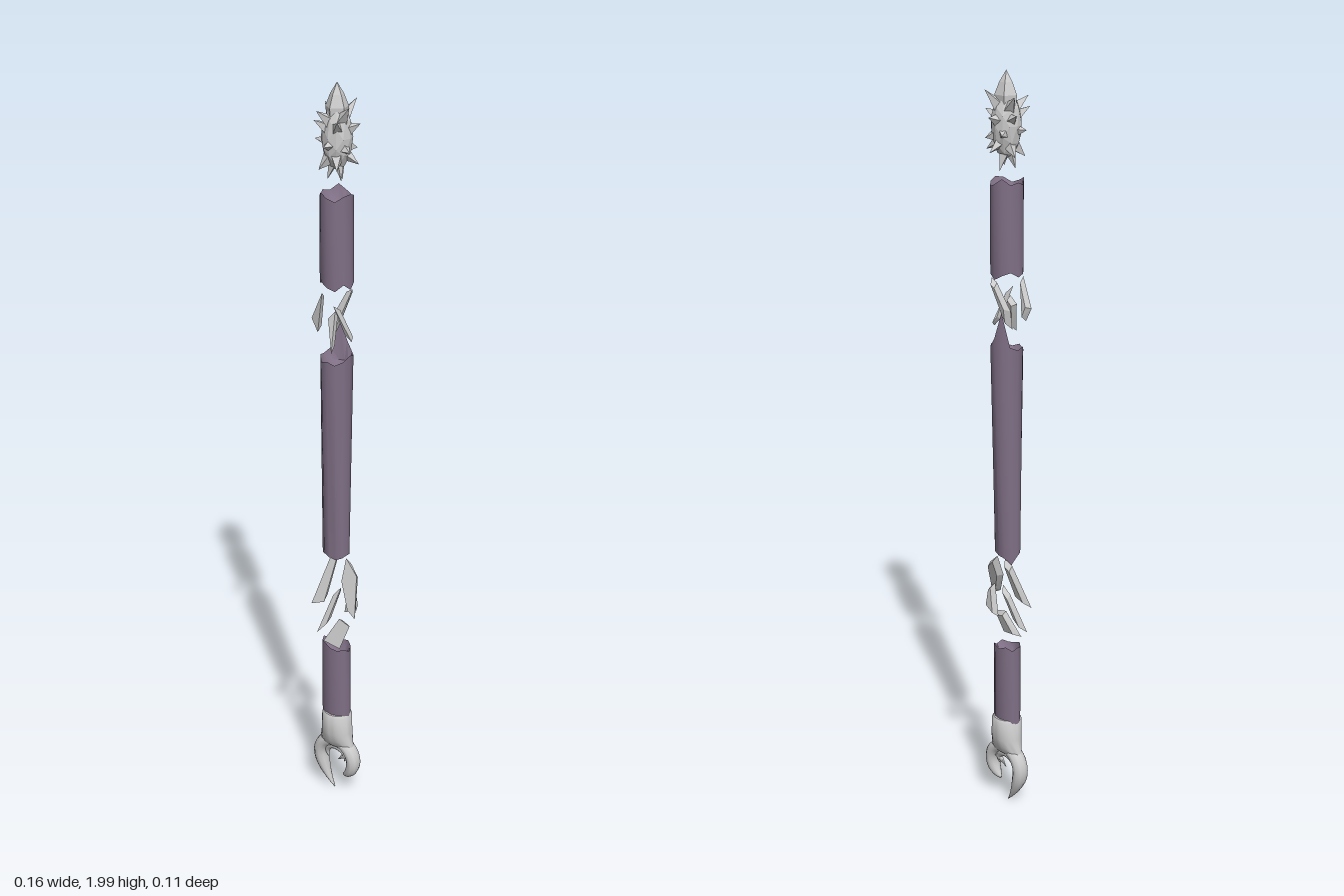
import * as THREE from 'three';
import { toCreasedNormals } from 'three/addons/utils/BufferGeometryUtils.js';
import { ConvexGeometry } from 'three/addons/geometries/ConvexGeometry.js';

const grey = new THREE.MeshStandardMaterial({ color: 0xcccccc, side: THREE.DoubleSide });
const greyFlat = new THREE.MeshStandardMaterial({ color: 0xcccccc, side: THREE.DoubleSide, flatShading: true });
const purple = new THREE.MeshStandardMaterial({ color: 0x807086, side: THREE.DoubleSide });
const CX = -0.006, CZ = 0.004;

function add(parent, name, geometry, material) {
  const mesh = new THREE.Mesh(geometry, material);
  mesh.name = name;
  parent.add(mesh);
  return mesh;
}

// Shaft piece with splintered, recessed ends; bottom and top are { y, rx, rz, x, jag[12] }
function shaft(parent, name, bottom, top) {
  const profile = [[0, 0], [0.75, 0], [1, 0], [1, 1], [0.75, 1], [0, 1]];
  const geo = new THREE.LatheGeometry(profile.map(p => new THREE.Vector2(...p)), 12);
  const pos = geo.attributes.position;
  for (let i = 0; i < pos.count; i++) {
    const k = i % profile.length;
    const step = Math.floor(i / profile.length) % 12;
    const end = k < 3 ? bottom : top;
    const inward = k < 3 ? 1 : -1;
    const y = profile[k][0] === 1 ? end.y + end.jag[step] : end.y + inward * (k === 0 || k === 5 ? 0.04 : 0.02);
    pos.setXYZ(i, end.x + pos.getX(i) * end.rx, y, CZ + pos.getZ(i) * end.rz);
  }
  add(parent, name, toCreasedNormals(geo, 0.75), purple);
}

// Faceted splinter: outline in x,y leaning in z, with a smaller copy behind it
function shard(parent, name, outline, z, lean, thick = 0.016) {
  const midX = outline.reduce((s, p) => s + p[0], 0) / outline.length;
  const midY = outline.reduce((s, p) => s + p[1], 0) / outline.length;
  const points = [];
  for (const [x, y] of outline) {
    const dx = x - midX, dy = y - midY;
    points.push(new THREE.Vector3(x, y, z + lean * dy + thick / 2));
    points.push(new THREE.Vector3(midX + dx * 0.65, midY + dy * 0.75, z + lean * dy * 0.75 - thick / 2));
  }
  add(parent, name, new ConvexGeometry(points), greyFlat);
}

// Tapered claw swept along an arc; radius, width and depth are functions of t
function claw(parent, name, cy, a0, a1, radius, width, depth) {
  const n = 28, sides = 10, verts = [], index = [];
  for (let i = 0; i <= n; i++) {
    const t = i / n;
    const a = THREE.MathUtils.degToRad(a0 + (a1 - a0) * t);
    for (let j = 0; j < sides; j++) {
      const b = (j / sides) * Math.PI * 2;
      const r = radius(t) + Math.cos(b) * width(t);
      verts.push(CX + r * Math.cos(a), cy + r * Math.sin(a), CZ + Math.sin(b) * depth(t));
      if (i < n) {
        const p = i * sides + j, q = i * sides + (j + 1) % sides;
        if (a1 > a0) index.push(p, p + sides, q, q, p + sides, q + sides);
        else index.push(p, q, p + sides, q, q + sides, p + sides);
      }
    }
  }
  const geo = new THREE.BufferGeometry();
  geo.setAttribute('position', new THREE.Float32BufferAttribute(verts, 3));
  geo.setIndex(index);
  geo.computeVertexNormals();
  add(parent, name, geo, grey);
}

// Spiked head: faceted core, rows of broad thorns and a pointed crown tip
function spikedHead() {
  const head = new THREE.Group();
  head.name = 'spikedHead';
  const core = new THREE.IcosahedronGeometry(1, 1);
  core.scale(0.039, 0.082, 0.037);
  add(head, 'headCore', core, greyFlat);
  const up = new THREE.Vector3(0, 1, 0);
  // [height, ring radius, thorn count, upward tilt, length, base radius]
  const rows = [
    [0.045, 0.022, 4, 1.0, 0.052, 0.018], [0.018, 0.024, 5, 0.5, 0.042, 0.02],
    [-0.018, 0.024, 5, -0.1, 0.034, 0.02], [-0.045, 0.02, 5, -0.8, 0.044, 0.018],
    [-0.068, 0.01, 3, -3, 0.045, 0.014],
  ];
  rows.forEach(([y, r, count, tilt, length, base], row) => {
    for (let i = 0; i < count; i++) {
      const a = ((i + (row % 2) * 0.5 + 0.25) / count) * Math.PI * 2;
      const vary = Math.sin(i * 5 + row * 2);
      const dir = new THREE.Vector3(Math.cos(a), tilt + 0.2 * vary, Math.sin(a)).normalize();
      const geo = new THREE.ConeGeometry(base, length * (1 + 0.12 * vary), 4);
      geo.translate(0, length / 2 - 0.004, 0);
      const thorn = add(head, 'thorn', geo, greyFlat);
      thorn.quaternion.setFromUnitVectors(up, dir);
      thorn.position.set(r * Math.cos(a), y + 0.006 * vary, r * Math.sin(a));
    }
  });
  const tip = new THREE.LatheGeometry(
    [[0.026, 0.04], [0.029, 0.072], [0.017, 0.102], [0, 0.13]].map(p => new THREE.Vector2(...p)), 5);
  add(head, 'crownTip', tip, greyFlat);
  head.position.set(CX - 0.002, 1.87, 0);
  return head;
}

export function createModel() {
  const model = new THREE.Group();
  model.name = 'brokenStaff';
  model.add(spikedHead());

  // Three shaft pieces
  shaft(model, 'upperShaft',
    { y: 1.505, rx: 0.042, rz: 0.042, x: CX, jag: [0, -0.008, 0.008, -0.008, 0.005, 0, -0.012, 0, 0.008, -0.005, 0, 0.01] },
    { y: 1.73, rx: 0.042, rz: 0.042, x: CX, jag: [0, -0.008, 0.005, 0.008, 0, -0.008, 0, 0.015, 0, 0.005, -0.005, 0.01] });
  shaft(model, 'middleShaft',
    { y: 0.757, rx: 0.037, rz: 0.031, x: -0.009, jag: [0, -0.005, 0, 0.005, 0, 0, -0.005, -0.01, -0.027, -0.005, 0, 0.005] },
    { y: 1.312, rx: 0.041, rz: 0.043, x: CX, jag: [0, -0.008, 0, 0.012, 0.005, 0.005, 0.03, 0.1, 0.01, 0, 0.005, -0.008] });
  shaft(model, 'lowerShaft',
    { y: 0.26, rx: 0.042, rz: 0.029, x: CX - 0.002, jag: Array(12).fill(0) },
    { y: 0.48, rx: 0.042, rz: 0.029, x: CX - 0.002, jag: [0, -0.005, 0, -0.01, 0, 0.005, 0, 0.01, 0, 0.01, 0.005, 0.01] });

  // Floating splinters in the upper break
  shard(model, 'upperSplinter', [[-0.056, 1.415], [-0.04, 1.38], [-0.018, 1.49], [-0.035, 1.45]], 0.035, 0.1);
  shard(model, 'upperSplinter', [[-0.025, 1.41], [0.008, 1.48], [0.025, 1.49], [0, 1.42], [-0.02, 1.36]], -0.014, -0.22);
  shard(model, 'upperSplinter', [[0.012, 1.46], [0.038, 1.36], [0.022, 1.38]], 0.01, 0.4);
  shard(model, 'upperSplinter', [[-0.012, 1.42], [0.005, 1.44], [0.015, 1.34]], 0.03, -0.3);

  // Floating splinters in the lower break
  shard(model, 'lowerSplinter', [[-0.066, 0.6], [-0.028, 0.615], [-0.016, 0.74], [-0.038, 0.725]], 0.005, -0.35);
  shard(model, 'lowerSplinter', [[0.012, 0.74], [0.055, 0.705], [0.076, 0.6], [0.048, 0.615], [0.012, 0.68]], 0.005, -0.35);
  shard(model, 'lowerSplinter', [[0.002, 0.57], [0.042, 0.59], [0.032, 0.65], [0.02, 0.66]], -0.024, 0.05);
  shard(model, 'lowerSplinter', [[-0.045, 0.52], [-0.02, 0.55], [0.005, 0.655], [-0.015, 0.63]], 0.013, -0.3);
  shard(model, 'lowerSplinter', [[-0.025, 0.5], [0.03, 0.495], [0.048, 0.56], [0.012, 0.57]], 0.022, -0.3);

  // Collar below the shaft, flaring sideways and thinning front to back into the ring
  const collar = new THREE.LatheGeometry(
    [[0, 0.166], [0.045, 0.162], [0.055, 0.165], [0.05, 0.185], [0.044, 0.21], [0.042, 0.262], [0.037, 0.27], [0, 0.27]]
      .map(p => new THREE.Vector2(...p)), 24);
  const pos = collar.attributes.position;
  for (let i = 0; i < pos.count; i++) {
    const s = THREE.MathUtils.mapLinear(THREE.MathUtils.clamp(pos.getY(i), 0.165, 0.215), 0.165, 0.215, 0.42, 0.92);
    pos.setXYZ(i, pos.getX(i) + CX, pos.getY(i), pos.getZ(i) * s + CZ);
  }
  add(model, 'collar', toCreasedNormals(collar, 0.8), grey);

  // Ring of two claws: the long one ends in the bottom point, the short one leaves a gap
  claw(model, 'longClaw', 0.12, 80, 266, t => 0.054 + 0.054 * Math.pow(t, 8),
    t => 0.019 * (1 - Math.pow(t, 9)) + 0.001, t => 0.023 * (1 - 0.92 * Math.pow(t, 6)));
  claw(model, 'shortClaw', 0.12, 100, -68, t => 0.054 + 0.004 * t * t,
    t => 0.019 * (1 - 0.85 * Math.pow(t, 7)), t => 0.023 * (1 - 0.9 * Math.pow(t, 6)));

  // Thin crescent and small fang inside the ring
  claw(model, 'innerCrescent', 0.125, 215, -30, t => 0.033 - 0.004 * t,
    t => 0.013 * Math.sin(Math.PI * t) + 0.001, t => 0.014 * Math.sin(Math.PI * t) + 0.001);
  const fang = add(model, 'innerFang', new THREE.ConeGeometry(0.011, 0.045, 6), grey);
  fang.position.set(0.012, 0.122, CZ);
  fang.rotation.z = 2.3;
  return model;
}
